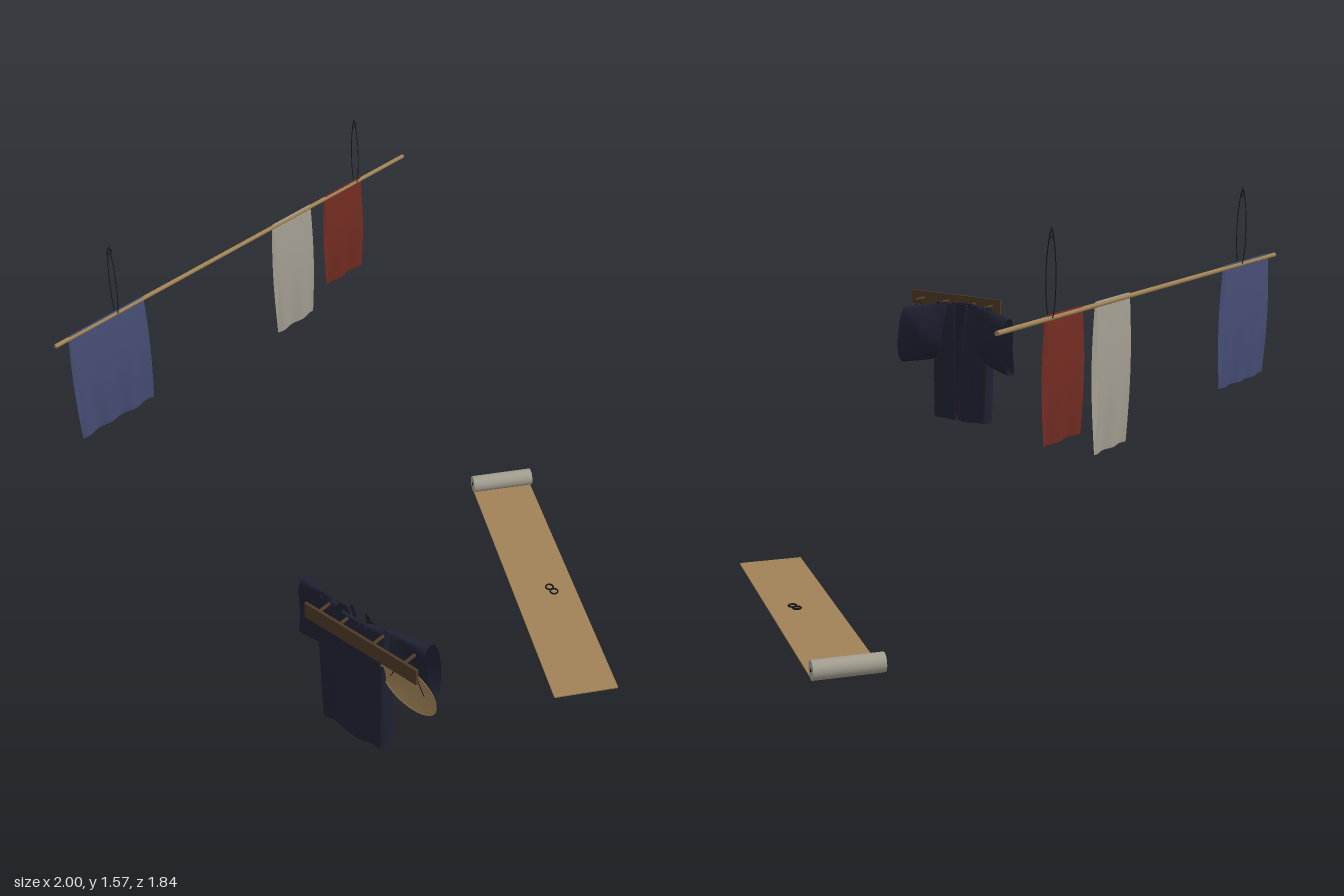
import * as THREE from 'three';
import { ParametricGeometry } from 'three/addons/geometries/ParametricGeometry.js';

const mat = (name, color, double = false) => {
  const m = new THREE.MeshStandardMaterial({ color });
  m.name = name;
  if (double) m.side = THREE.DoubleSide;
  return m;
};

export function createModel() {
  const M = {
    bamboo: mat('bamboo tan', 0xa08256, true),
    wood: mat('dark wood', 0x4d3a28),
    blue: mat('faded blue', 0x454d74, true),
    white: mat('undyed linen', 0xa39e91, true),
    red: mat('rust red', 0x722c22, true),
    navy: mat('navy cloth', 0x1f2132, true),
    black: mat('black cord', 0x151417),
  };
  const root = new THREE.Group();
  root.name = 'clothAndCoatDisplay';

  const add = (name, geo, material, pos = [0, 0, 0], rot = [0, 0, 0], parent = root) => {
    const mesh = new THREE.Mesh(geo, material);
    mesh.name = name;
    mesh.position.set(...pos);
    mesh.rotation.set(...rot);
    parent.add(mesh);
    return mesh;
  };
  const tube = (name, pts, r, material, closed = false) => add(name,
    new THREE.TubeGeometry(new THREE.CatmullRomCurve3(pts.map(p => new THREE.Vector3(...p)), closed), 32, r, 6, closed), material);
  const lerp = THREE.MathUtils.lerp;
  const spow = (v, e) => Math.sign(v) * Math.abs(v) ** e;

  // Hanging pole
  const poleY = 1.29, poleZ = -0.9;
  add('pole', new THREE.CylinderGeometry(0.008, 0.008, 1.86, 12), M.bamboo, [0.07, poleY, poleZ], [0, 0, Math.PI / 2]);

  // Cloths folded over the pole: a closed, slightly bellied loop swept along x
  const cloth = (name, x0, x1, bottom, material) => add(name, new ParametricGeometry((u, v, p) => {
    const a = v * Math.PI * 2, top = 1.302;
    const t = (1 - Math.cos(a)) / 2; // 0 at the fold, 1 at the hem
    const belly = 0.006 + 0.008 * Math.sin(Math.PI * t) - 0.003 * t;
    const x = lerp(x0, x1, u);
    const wave = 0.005 * t * t * Math.sin(x * 55) + 0.002 * t * Math.sin(x * 23 + 1);
    const z = spow(Math.sin(a), 0.5) * belly + wave;
    p.set(x, lerp(top, bottom, t), poleZ + z);
  }, 28, 48), material);
  cloth('blueCloth', -0.797, -0.447, 0.85, M.blue);
  cloth('linenCloth', 0.23, 0.44, 0.8, M.white);
  cloth('redCloth', 0.525, 0.735, 0.89, M.red);

  // Suspension cords looped round the pole, with a small ring on top
  for (const x of [-0.575, 0.708]) {
    tube('hangingCord', [[x, 1.278, poleZ], [x, 1.3, poleZ + 0.01], [x, 1.4, poleZ + 0.018], [x, 1.5, poleZ + 0.013],
      [x, 1.568, poleZ], [x, 1.5, poleZ - 0.013], [x, 1.4, poleZ - 0.018], [x, 1.3, poleZ - 0.01]], 0.0015, M.black, true);
    add('cordRing', new THREE.TorusGeometry(0.01, 0.0018, 6, 20), M.black, [x, 1.545, poleZ]);
  }

  // Unrolled mat with the remaining roll at its far end
  const runner = new THREE.Group();
  runner.name = 'unrolledMat';
  runner.position.set(0.07, 0, 0.82);
  runner.rotation.y = 0.925;
  root.add(runner);
  add('mat', new THREE.BoxGeometry(1.27, 0.005, 0.25), M.bamboo, [0.635, 0.003, 0], [0, 0, 0], runner);
  add('roll', new THREE.CylinderGeometry(0.035, 0.035, 0.256, 28), M.white, [1.27, 0.039, 0], [Math.PI / 2, 0, 0], runner);
  for (const s of [-1, 1]) {
    add('rollCore', new THREE.CylinderGeometry(0.007, 0.007, 0.002, 14), M.black, [1.27, 0.039, s * 0.1285], [Math.PI / 2, 0, 0], runner);
  }

  // Pair of small rings lying on the mat
  add('ring', new THREE.TorusGeometry(0.015, 0.0035, 6, 20), M.black, [0.446, 0.012, 0.36], [Math.PI / 2, 0, 0]);
  add('ring', new THREE.TorusGeometry(0.015, 0.0035, 6, 20), M.black, [0.437, 0.012, 0.39], [Math.PI / 2, 0, 0]);

  // Peg rail
  add('pegBoard', new THREE.BoxGeometry(0.01, 0.06, 0.47), M.wood, [-0.995, 0.93, 0.655]);
  for (const z of [0.46, 0.55, 0.69, 0.82]) {
    add('peg', new THREE.CylinderGeometry(0.006, 0.006, 0.07, 10), M.wood, [-0.96, 0.93, z], [0, 0, Math.PI / 2]);
  }

  // Shallow straw hat hung by a cord
  add('strawHat', new THREE.LatheGeometry([[0.116, 0], [0.112, 0.004], [0.07, 0.02], [0.03, 0.03], [0, 0.033]]
    .map(p => new THREE.Vector2(...p)), 40), M.bamboo, [-0.938, 0.785, 0.805], [0, 0, -Math.PI / 2 + 0.18]);
  for (const s of [-1, 1]) {
    tube('hatCord', [[-0.94, 0.935, 0.82], [-0.948, 0.89, 0.812 + s * 0.025], [-0.945, 0.8, 0.805 + s * 0.07]], 0.0015, M.black);
  }

  // Coat body: open at the front, flattened towards the shoulder line
  const coat = new THREE.Group();
  coat.name = 'coat';
  root.add(coat);
  const cz = 0.558;
  const gapAt = y => lerp(0.004, 0.024, THREE.MathUtils.clamp((y - 0.6) / 0.33, 0, 1));
  const depthAt = y => y < 0.75 ? 0.043 : lerp(0.043, 0.014, ((y - 0.75) / 0.185) ** 2);
  add('coatBody', new ParametricGeometry((u, v, p) => {
    const y = lerp(0.435, 0.935, v), w = 0.143;
    const g = 2 * Math.asin((gapAt(y) / w) ** 1) * 0.35 + 0.01;
    const a = lerp(g, Math.PI * 2 - g, u);
    const ripple = 0.006 * Math.sin(a * 7 + y * 6) * (1 - v);
    const x = -0.914 - 0.004 * v + spow(Math.cos(a), 0.55) * depthAt(y) + ripple;
    p.set(x, y, cz + spow(Math.sin(a), 0.65) * w);
  }, 72, 24), M.navy, undefined, undefined, coat);

  // Wide sleeves swept forward, with open cuffs
  const sleeve = (name, zIn, zOut, xs, depths) => add(name, new ParametricGeometry((u, v, p) => {
    const a = u * Math.PI * 2, c = Math.cos(a);
    const top = lerp(0.94, 0.91, v), bottom = lerp(0.7, 0.665, v);
    const k = Math.min(v * 2, 1), j = Math.max(v * 2 - 1, 0);
    const cx = lerp(lerp(xs[0], xs[1], k), xs[2], j);
    const d = lerp(lerp(depths[0], depths[1], k), depths[2], j);
    const x = cx + spow(Math.sin(a), 0.8) * d + 0.004 * Math.sin(a * 3 + v * 7) - 0.018 * c * c;
    const z = lerp(zIn, zOut, v) + Math.sign(zOut - zIn) * 0.006 * (1 - c) * v;
    p.set(x, lerp(bottom, top, (c + 1) / 2), z);
  }, 40, 16), M.navy, undefined, undefined, coat);
  sleeve('leftSleeve', 0.62, 0.818, [-0.91, -0.865, -0.832], [0.02, 0.04, 0.036]);
  sleeve('rightSleeve', 0.49, 0.293, [-0.905, -0.875, -0.855], [0.02, 0.026, 0.038]);

  // Collar bands along the front opening, over the neck to the back
  for (const s of [-1, 1]) {
    add('collarBand', new ParametricGeometry((u, v, p) => {
      const y = lerp(0.44, 0.94, v);
      p.set(-0.914 + depthAt(y) + 0.006 + 0.003 * Math.sin(u * Math.PI), y,
        cz + s * (gapAt(y) + u * 0.018) + 0.006 * Math.sin(y * 14));
    }, 4, 24), M.navy, undefined, undefined, coat);
  }
  add('backCollar', new THREE.BoxGeometry(0.012, 0.025, 0.075), M.navy, [-0.933, 0.928, cz], [0, 0, 0], coat);

  return root;
}
